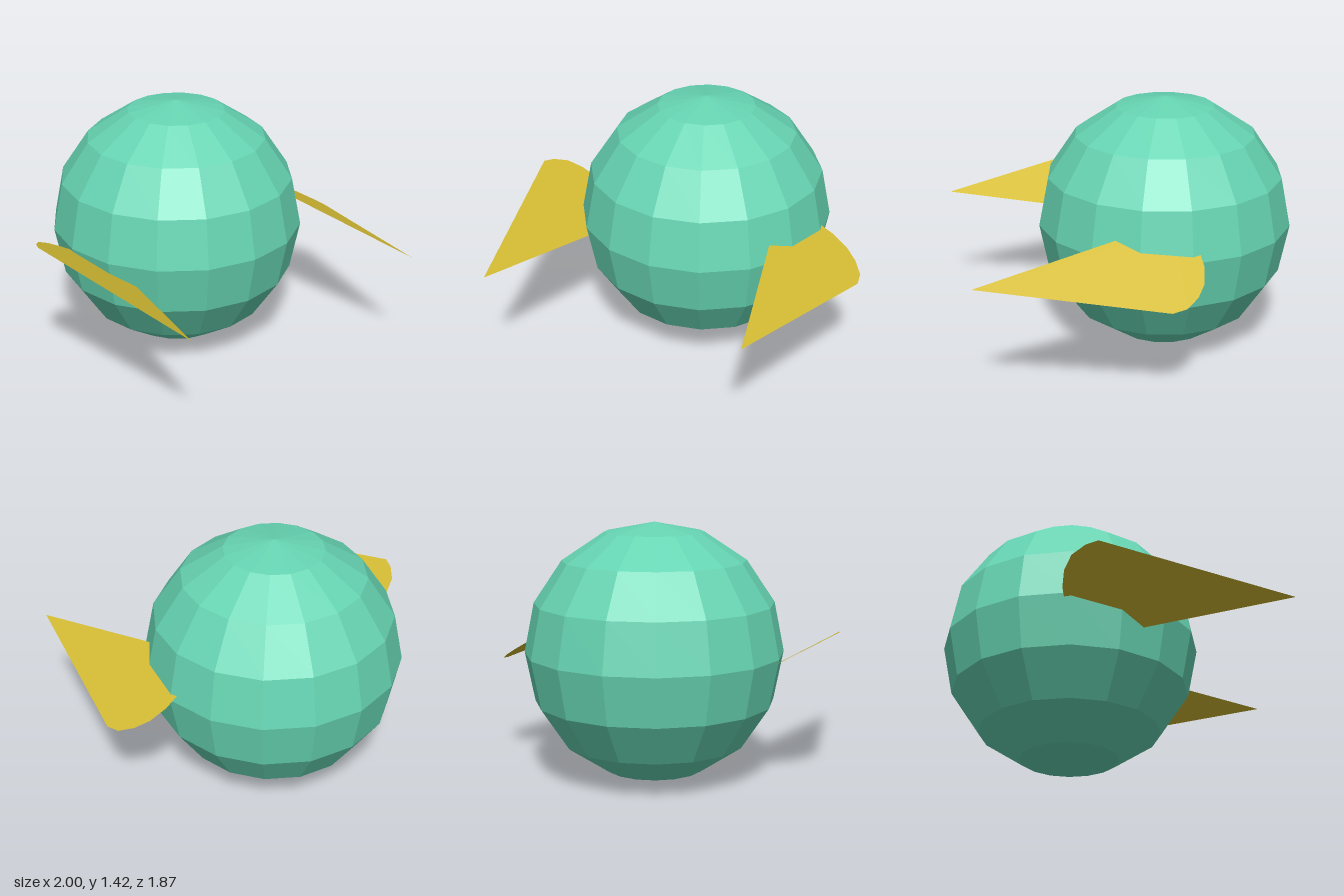
import * as THREE from 'three';

// Flat, tilted, leaf-like blade; the outline is given as [x, z] pairs, tip first
function blade(name, outline, tilt, material) {
  const shape = new THREE.Shape(outline.map(([x, z]) => new THREE.Vector2(x, -z)));
  const geometry = new THREE.ShapeGeometry(shape);
  geometry.rotateX(-Math.PI / 2);
  const [tipX, tipZ] = outline[0];
  const pos = geometry.attributes.position;
  // Lay every point on one plane through the tip
  for (let i = 0; i < pos.count; i++) {
    pos.setY(i, 0.68 + tilt * (pos.getX(i) - tipX) - 0.041 * (pos.getZ(i) - tipZ));
  }
  geometry.computeVertexNormals();
  const mesh = new THREE.Mesh(geometry, material);
  mesh.name = name;
  return mesh;
}

export function createModel() {
  const model = new THREE.Group();
  model.name = 'ballWithBlades';

  const green = new THREE.MeshStandardMaterial({ color: 0x66d4b2, flatShading: true });
  const yellow = new THREE.MeshStandardMaterial({
    color: 0xd4bb33, flatShading: true, side: THREE.DoubleSide,
  });

  // Faceted ball
  const body = new THREE.Mesh(new THREE.SphereGeometry(0.712, 16, 8), green);
  body.name = 'body';
  body.position.set(0, 0.715, -0.225);
  model.add(body);

  // Side blades: both lean the same way, pointed at the front and rounded at the back
  model.add(blade('leftBlade', [
    [0.745, 0.93], [1, -0.05], [0.985, -0.13], [0.93, -0.2], [0.86, -0.248],
    [0.77, -0.27], [0.68, -0.265], [0.59, -0.23], [0.53, -0.17], [0.502, -0.08],
  ], -0.56, yellow));
  model.add(blade('rightBlade', [
    [-0.76, 0.93], [-1, -0.09], [-0.975, -0.155], [-0.92, -0.225], [-0.84, -0.262],
    [-0.75, -0.27], [-0.66, -0.255], [-0.58, -0.2], [-0.525, -0.13], [-0.5, -0.05],
  ], -0.575, yellow));

  return model;
}
